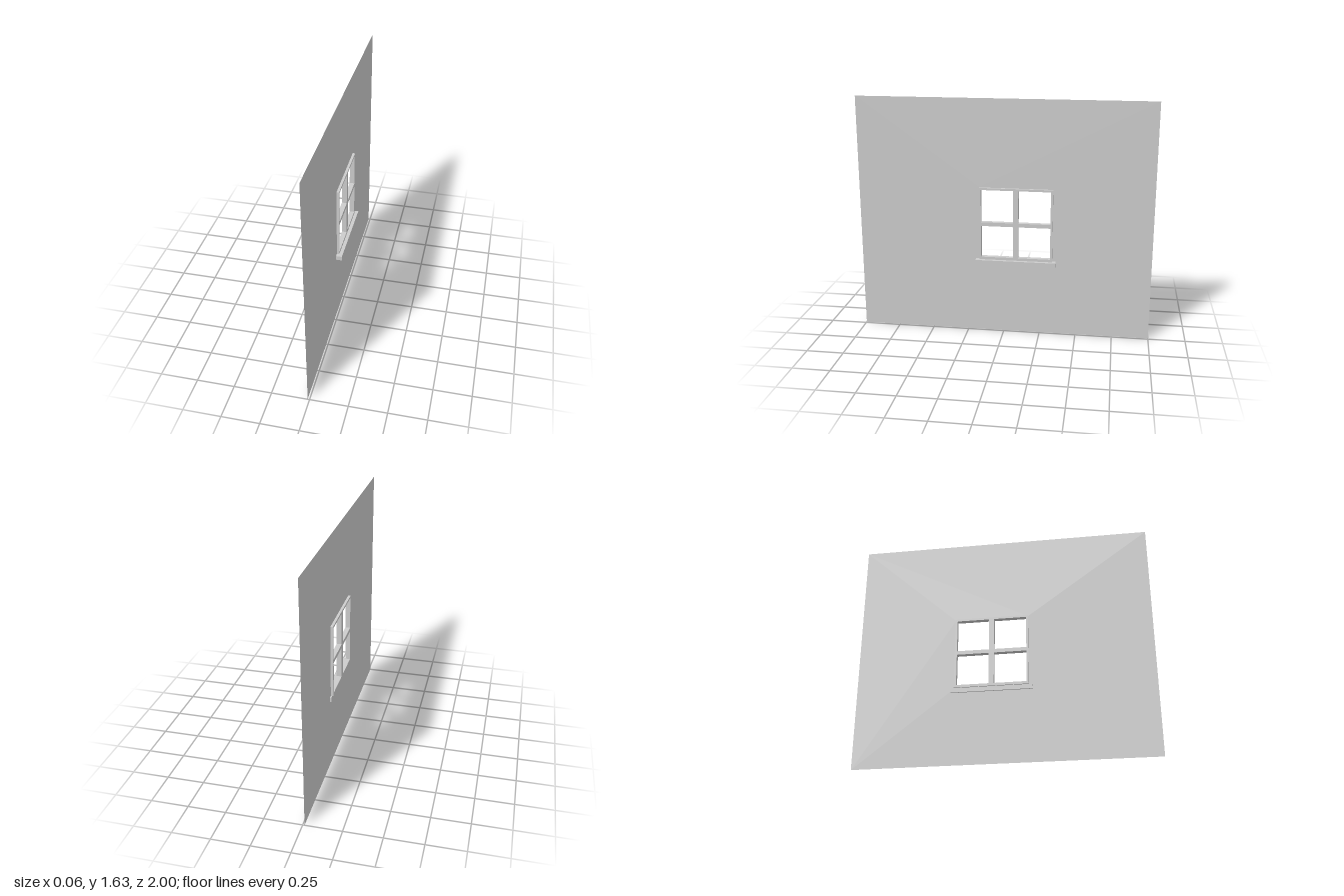
import * as THREE from 'three';

const material = new THREE.MeshStandardMaterial({ color: 0xcccccc });
const wallMaterial = new THREE.MeshStandardMaterial({ color: 0xcccccc, side: THREE.DoubleSide });

// Outline of a rectangle in the wall's plane: u runs along -z, v is height
function trace(path, u0, u1, v0, v1) {
  path.moveTo(u0, v0);
  path.lineTo(u1, v0);
  path.lineTo(u1, v1);
  path.lineTo(u0, v1);
  path.closePath();
  return path;
}

function panel(outer, holes) {
  const shape = trace(new THREE.Shape(), ...outer);
  for (const hole of holes) shape.holes.push(trace(new THREE.Path(), ...hole));
  return shape;
}

// Turn a flat or extruded shape so it faces +x, starting at the given x
function addPart(group, name, geometry, x, mat = material) {
  geometry.rotateY(Math.PI / 2);
  geometry.translate(x, 0, 0);
  const mesh = new THREE.Mesh(geometry, mat);
  mesh.name = name;
  group.add(mesh);
}

export function createModel() {
  const group = new THREE.Group();
  group.name = 'wallWithWindow';
  const frame = [-0.168, 0.332, 0.527, 1.03];

  // Paper-thin wall with the window opening
  addPart(group, 'wall', new THREE.ShapeGeometry(panel([-1, 1, 0, 1.628], [frame])), -0.012, wallMaterial);

  // Window frame with crossing bars, leaving four panes open
  const panes = [];
  for (const [u0, u1] of [[-0.155, 0.064], [0.099, 0.317]])
    for (const [v0, v1] of [[0.545, 0.765], [0.791, 1.016]]) panes.push([u0, u1, v0, v1]);
  addPart(group, 'windowFrame',
    new THREE.ExtrudeGeometry(panel(frame, panes), { depth: 0.034, bevelEnabled: false }), -0.029);

  // Sill under the frame, wider and standing out from the wall
  addPart(group, 'windowSill',
    new THREE.ExtrudeGeometry(panel([-0.193, 0.356, 0.496, 0.527], []), { depth: 0.049, bevelEnabled: false }), -0.021);

  return group;
}
